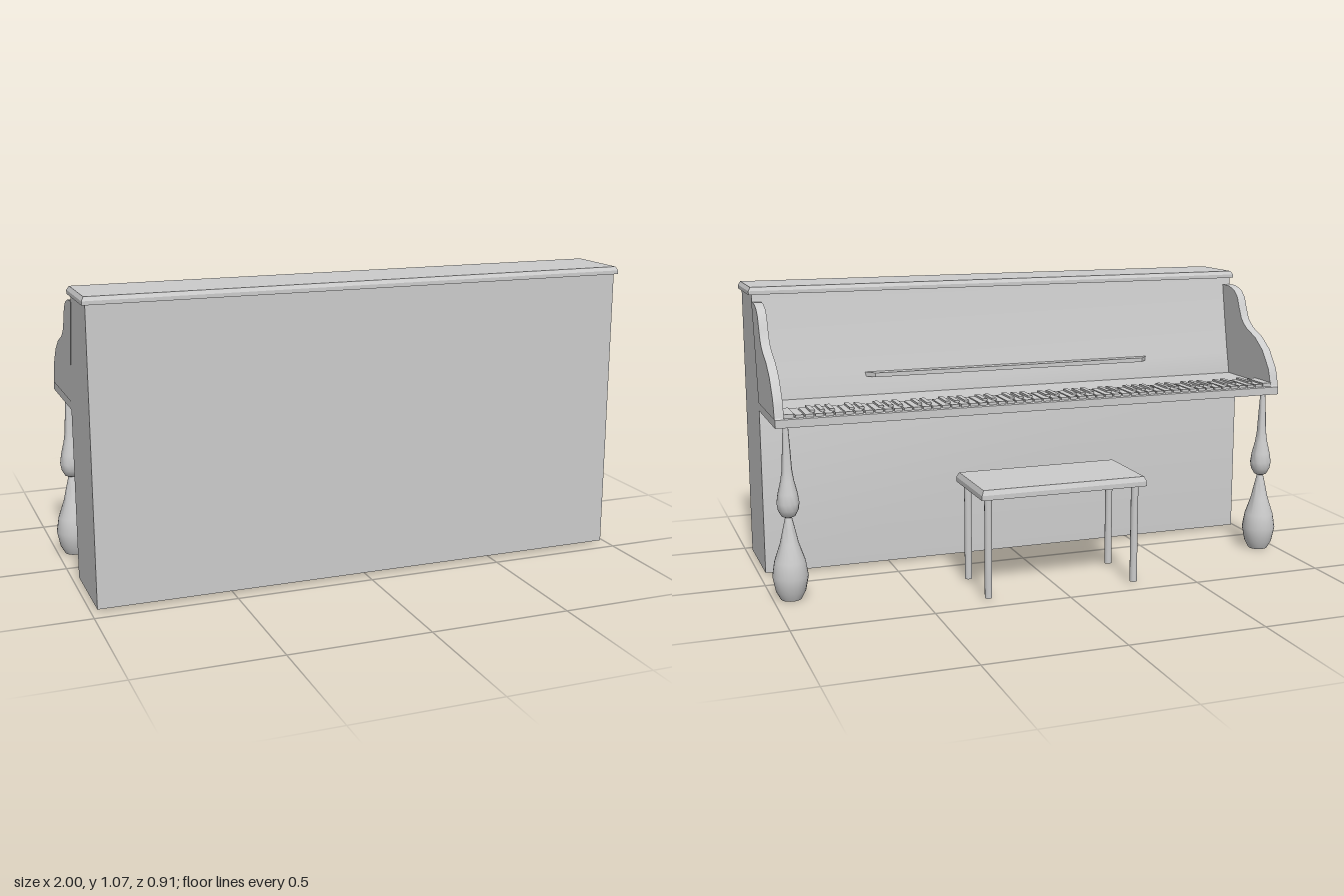
import * as THREE from 'three';
import { toCreasedNormals } from 'three/addons/utils/BufferGeometryUtils.js';

const grey = new THREE.MeshStandardMaterial({ color: 0xcccccc });

export function createModel() {
  const model = new THREE.Group();

  const add = (name, geometry, x = 0, y = 0, z = 0, parent = model) => {
    const mesh = new THREE.Mesh(geometry, grey);
    mesh.name = name;
    mesh.position.set(x, y, z);
    parent.add(mesh);
    return mesh;
  };
  const box = (w, h, d) => new THREE.BoxGeometry(w, h, d);

  // Extrudes a [z, y] outline along x, centred on x = 0
  const extrudeX = (points, width) => {
    const shape = new THREE.Shape(points.map(([z, y]) => new THREE.Vector2(z, y)));
    const g = new THREE.ExtrudeGeometry(shape, { depth: width, bevelEnabled: false });
    g.translate(0, 0, -width / 2);
    g.rotateY(-Math.PI / 2);
    return toCreasedNormals(g, 0.6);
  };

  // Slab standing on y = 0 whose upper half tapers inwards
  const slab = (w, h, d, inset) => {
    const g = box(w, h, d).toNonIndexed();
    const src = new THREE.BoxGeometry(w, h, d, 1, 2, 1).toNonIndexed();
    g.dispose();
    const p = src.attributes.position;
    for (let i = 0; i < p.count; i++) {
      if (p.getY(i) > h / 4) {
        p.setX(i, p.getX(i) - Math.sign(p.getX(i)) * inset);
        p.setZ(i, p.getZ(i) - Math.sign(p.getZ(i)) * inset);
      }
    }
    src.translate(0, h / 2, 0);
    src.computeVertexNormals();
    return src;
  };

  // Case with a leaning, slightly curved upper panel
  add('case', extrudeX([
    [0.445, 0.008], [0.445, 1.045], [0.205, 1.045], [0.2, 1.015],
    [0.172, 0.87], [0.147, 0.75], [0.125, 0.66], [0.125, 0.008],
  ], 1.956));
  add('lid', slab(1.98, 0.027, 0.26, 0.008), 0, 1.042, 0.325);

  // Key bed with eased front edge
  add('keyBed', extrudeX([
    [0.13, 0.625], [0.13, 0.66], [-0.21, 0.66], [-0.216, 0.654], [-0.216, 0.625],
  ], 1.956));

  // Scrolled side arms
  const armOutline = [
    [0.205, 1.015], [0.17, 1.016], [0.14, 1.013], [0.1, 1.0], [0.072, 0.975],
    [0.055, 0.935], [0.035, 0.895], [0.015, 0.876], [-0.01, 0.86], [-0.08, 0.832],
    [-0.14, 0.79], [-0.19, 0.725], [-0.2, 0.7], [-0.212, 0.655], [0.126, 0.655],
    [0.147, 0.75], [0.172, 0.87],
  ];
  const armGeometry = extrudeX(armOutline, 0.033);

  // Turned front legs
  const legCurve = [
    [0.037, 0], [0.053, 0.03], [0.064, 0.085], [0.055, 0.14], [0.033, 0.205],
    [0.022, 0.255], [0.012, 0.298], [0.024, 0.303], [0.036, 0.325], [0.04, 0.35],
    [0.035, 0.385], [0.024, 0.43], [0.018, 0.47], [0.014, 0.55], [0.009, 0.63],
  ].map(([r, y]) => new THREE.Vector2(r, y));
  const legGeometry = new THREE.LatheGeometry([new THREE.Vector2(0, 0), ...legCurve], 24);

  for (const [side, s] of [['left', 1], ['right', -1]]) {
    add(side + 'Arm', armGeometry, s * 0.9625);
    add(side + 'Leg', toCreasedNormals(legGeometry, 0.8), s * 0.936, 0, -0.173);
    add(side + 'KeyBlock', box(0.036, 0.014, 0.125), s * 0.929, 0.665, -0.1525);
  }

  // Keyboard: 52 long keys, with short raised keys between them
  const keys = new THREE.Group();
  keys.name = 'keyboard';
  model.add(keys);
  const pitch = 1.82 / 52;
  const longKey = box(pitch - 0.006, 0.01, 0.133);
  const shortKey = box(pitch * 0.5, 0.012, 0.095);
  for (let i = 0; i < 52; i++) {
    const x = -0.91 + (i + 0.5) * pitch;
    add('longKey', longKey, x, 0.663, -0.1475, keys);
    // the octave pattern leaves two gaps in every seven
    if (i < 51 && ![1, 4].includes(i % 7)) {
      add('shortKey', shortKey, x + pitch / 2, 0.669, -0.1285, keys);
    }
  }

  // Music ledge with mitred ends
  const ledge = new THREE.Shape([[-0.58, -0.15], [0.58, -0.15], [0.545, -0.108], [-0.545, -0.108]]
    .map(([x, y]) => new THREE.Vector2(x, y)));
  const ledgeGeometry = new THREE.ExtrudeGeometry(ledge, { depth: 0.016, bevelEnabled: false });
  ledgeGeometry.rotateX(-Math.PI / 2);
  add('musicLedge', ledgeGeometry, 0, 0.728, 0);

  // Bench
  const bench = new THREE.Group();
  bench.name = 'bench';
  bench.position.set(0.002, 0, -0.304);
  model.add(bench);
  add('benchSeat', slab(0.625, 0.035, 0.302, 0.008), 0, 0.37, 0, bench);
  const benchLeg = new THREE.CylinderGeometry(0.0135, 0.0135, 0.367, 12);
  for (const x of [-0.28, 0.28]) {
    for (const z of [-0.117, 0.117]) add('benchLeg', benchLeg, x, 0.19, z, bench);
  }

  return model;
}
